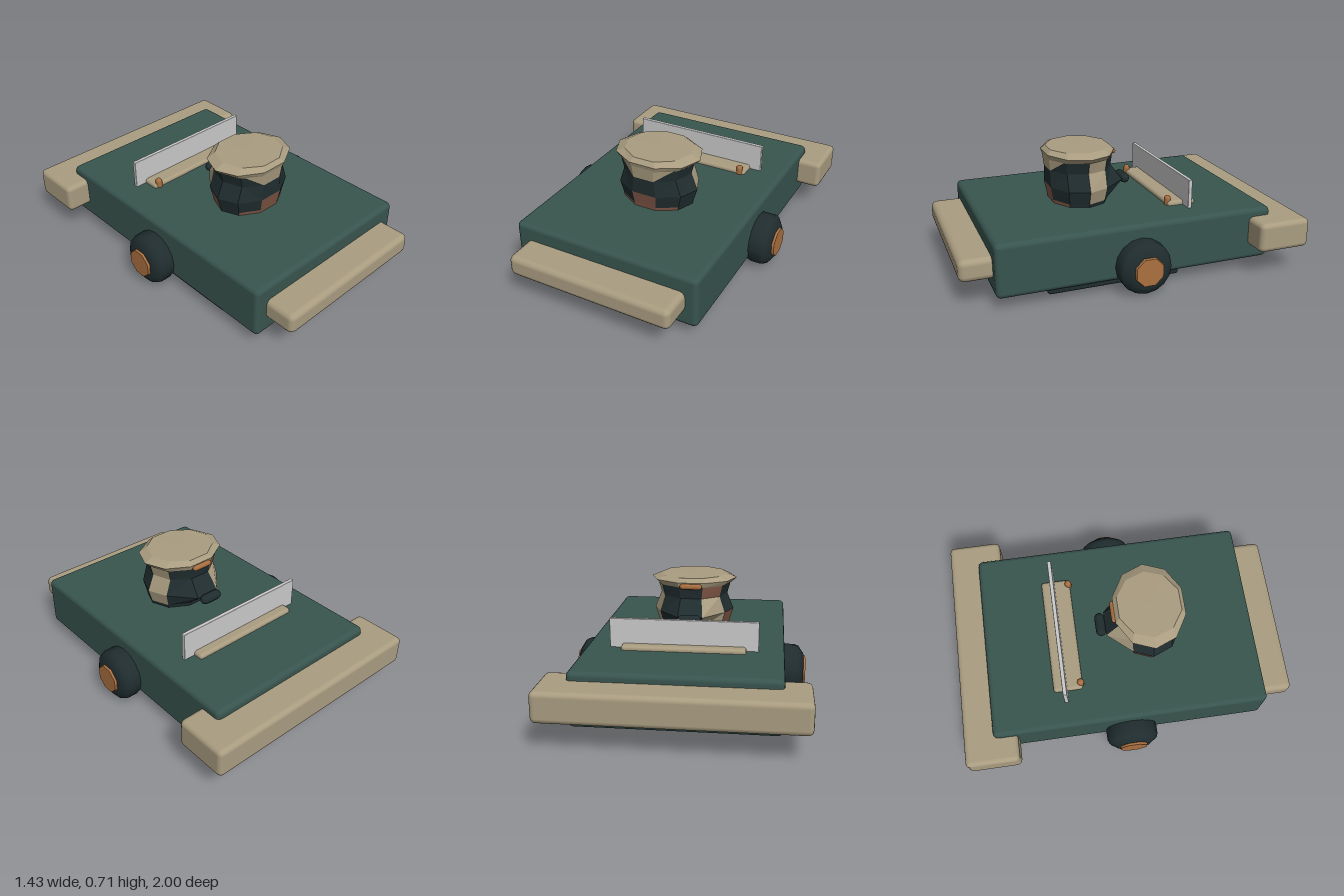
import * as THREE from 'three';
import { RoundedBoxGeometry } from 'three/addons/geometries/RoundedBoxGeometry.js';

const mat = (name, color) => {
  const m = new THREE.MeshStandardMaterial({ color });
  m.name = name;
  return m;
};

export function createModel() {
  const group = new THREE.Group();
  const green = mat('hullGreen', 0x38544e);
  const tan = mat('tan', 0xa99c80);
  const dark = mat('darkRubber', 0x202d2f);
  const copper = mat('copper', 0xaa7040);
  const brown = mat('brown', 0x805645);
  const silver = mat('silver', 0xcacaca);

  const add = (name, geo, material, x = 0, y = 0, z = 0) => {
    const m = new THREE.Mesh(geo, material);
    m.name = name;
    m.position.set(x, y, z);
    group.add(m);
    return m;
  };
  // Softly bevelled box given by its limits
  const block = (name, material, halfX, y0, y1, z0, z1, r) =>
    add(name, new RoundedBoxGeometry(halfX * 2, y1 - y0, z1 - z0, 2, r),
      material, 0, (y0 + y1) / 2, (z0 + z1) / 2);

  // Hull, bumpers and belly
  block('hull', green, 0.57, 0.075, 0.39, -0.82, 0.82, 0.03);
  block('frontBumper', tan, 0.5, 0.167, 0.295, 0.72, 1, 0.035);
  block('rearBumper', tan, 0.715, 0.167, 0.342, -1, -0.68, 0.03);
  block('bellyPlate', dark, 0.54, 0.04, 0.12, -0.25, 0.53, 0.015);
  const disc = new THREE.CylinderGeometry(0.29, 0.255, 0.03, 12).toNonIndexed();
  disc.computeVertexNormals();
  add('bellyDisc', disc, dark, 0, 0.03, 0.14);

  // Wheels with copper hubs
  for (const s of [1, -1]) {
    const profile = [[0, -0.09], [0.11, -0.09], [0.145, -0.065], [0.155, -0.04],
      [0.155, 0.02], [0.145, 0.045], [0.1, 0.075], [0, 0.075]]
      .map(([r, h]) => new THREE.Vector2(r, h));
    const tyre = add('wheel', new THREE.LatheGeometry(profile, 16), dark, s * 0.615, 0.16, 0);
    tyre.rotation.z = -s * Math.PI / 2;
    const hub = new THREE.CylinderGeometry(0.085, 0.095, 0.03, 8, 1).rotateY(Math.PI / 8);
    const h = add('wheelHub', hub, copper, s * 0.688, 0.16, 0);
    h.rotation.z = -s * Math.PI / 2;
  }

  // Blade on its bevelled mount, with two pins
  block('bladeMount', tan, 0.355, 0.37, 0.415, -0.435, -0.26, 0.018);
  block('blade', silver, 0.425, 0.385, 0.56, -0.378, -0.354, 0.004);
  for (const s of [1, -1]) {
    add('mountPin', new THREE.CapsuleGeometry(0.021, 0.05, 3, 8), copper, s * 0.32, 0.4, -0.27);
  }

  // Ten-sided turret: rings are [y, radius x, radius z]
  const N = 10, cz = 0.18;
  const corner = ([y, rx, rz, bulge], i) => {
    const a = (i % N) / N * Math.PI * 2;
    if (bulge && (i === 7 || i === 8)) return [i === 7 ? -0.075 : 0.075, y, -0.08];
    return [rx * Math.cos(a), y, cz + rz * Math.sin(a)];
  };
  // Collects the facets of each colour into one flat-shaded mesh
  const faceted = (name, rings, paint) => {
    const parts = new Map();
    const tri = (m, ...pts) => {
      if (!parts.has(m)) parts.set(m, []);
      parts.get(m).push(...pts.flat());
    };
    for (let r = 0; r < rings.length - 1; r++) {
      for (let i = 0; i < N; i++) {
        const aL = corner(rings[r], i), bL = corner(rings[r], i + 1);
        const aH = corner(rings[r + 1], i), bH = corner(rings[r + 1], i + 1);
        const [m1, m2] = paint(r, i);
        if (i === 3) {
          tri(m1, bL, aL, bH);
          tri(m2, aL, aH, bH);
        } else {
          tri(m1, bL, aL, aH);
          tri(m2, bL, aH, bH);
        }
      }
    }
    for (const [m, pts] of parts) {
      const g = new THREE.BufferGeometry();
      g.setAttribute('position', new THREE.Float32BufferAttribute(pts, 3));
      g.computeVertexNormals();
      add(name, g, m);
    }
  };
  const panel = (r, i) => {
    if (r === 0) return i >= 1 && i <= 3 || i === 5 || i === 6 ? brown : dark;
    if (r === 1 && (i === 2 || i === 5)) return brown;
    if (i === 9) return tan;
    if (i === 6) return r === 3 ? brown : tan;
    if (r === 3 && i === 2) return tan;
    return dark;
  };
  faceted('turret', [[0.385, 0.218, 0.178], [0.41, 0.224, 0.182], [0.49, 0.248, 0.198, true],
    [0.59, 0.208, 0.198], [0.675, 0.232, 0.208]],
  (r, i) => {
    const c = panel(r, i);
    // slanted edges of the front tongue
    return r === 3 && (i === 1 || i === 3) ? [dark, tan] : [c, c];
  });
  faceted('turretCap', [[0.66, 0, 0], [0.66, 0.236, 0.205], [0.69, 0.265, 0.215],
    [0.715, 0.205, 0.19], [0.716, 0, 0]], () => [tan, tan]);

  // Rear handle and copper bar on the turret
  const bar = (name, r, len, m, y, z) =>
    add(name, new THREE.CapsuleGeometry(r, len, 4, 8).rotateZ(Math.PI / 2), m, 0, y, z);
  bar('rearHandle', 0.03, 0.085, dark, 0.485, -0.108);
  bar('rearBar', 0.017, 0.1, copper, 0.668, -0.028);

  return group;
}
